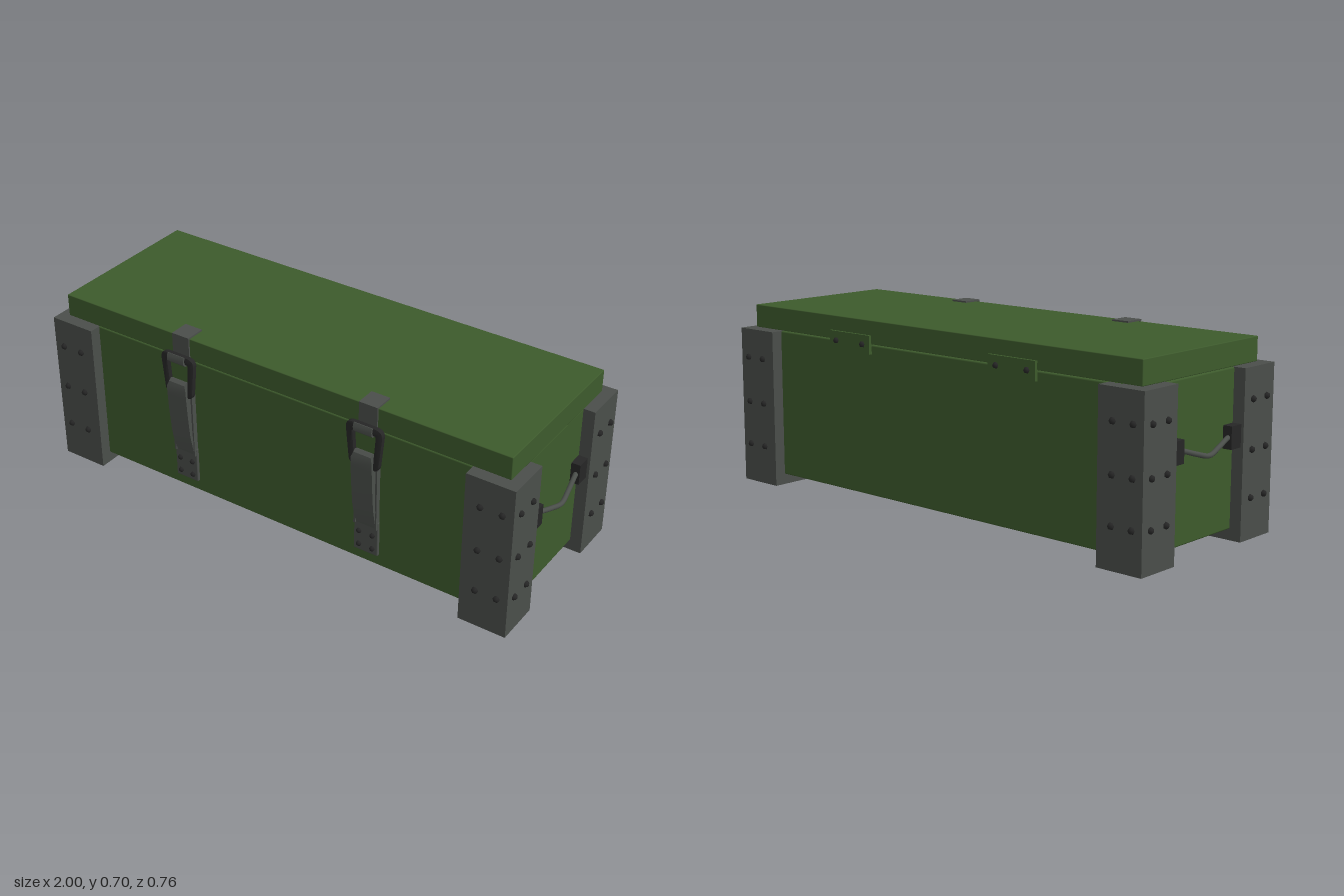
import * as THREE from 'three';
import { RoundedBoxGeometry } from 'three/addons/geometries/RoundedBoxGeometry.js';
import { toCreasedNormals } from 'three/addons/utils/BufferGeometryUtils.js';

const paint = (color) => new THREE.MeshStandardMaterial({ color });
const green = paint(0x3d5a2c);
const steel = paint(0x4a4e4a);
const dark = paint(0x262626);
const UP = new THREE.Vector3(0, 1, 0);

function add(parent, name, geometry, material, x = 0, y = 0, z = 0) {
  const mesh = new THREE.Mesh(geometry, material);
  mesh.name = name;
  mesh.position.set(x, y, z);
  parent.add(mesh);
  return mesh;
}

// Domed six-sided rivet whose dome points along dir
function rivet(parent, x, y, z, dir, r = 0.013) {
  const geometry = new THREE.SphereGeometry(r, 6, 4, 0, Math.PI * 2, 0, Math.PI / 2);
  const mesh = add(parent, 'rivet', geometry, dark, x, y, z);
  mesh.quaternion.setFromUnitVectors(UP, new THREE.Vector3(...dir));
}

// Side profile given as [z, y] points, extruded across x
function profile(points, width) {
  const shape = new THREE.Shape(points.map(([z, y]) => new THREE.Vector2(z, y)));
  const geometry = new THREE.ExtrudeGeometry(shape, { depth: width, bevelEnabled: false });
  geometry.translate(0, 0, -width / 2).rotateY(-Math.PI / 2);
  return toCreasedNormals(geometry, 0.6);
}

// Rectangle with rounded corners
function roundedRect(path, w, h, r) {
  path.moveTo(-w + r, -h);
  path.lineTo(w - r, -h).quadraticCurveTo(w, -h, w, -h + r);
  path.lineTo(w, h - r).quadraticCurveTo(w, h, w - r, h);
  path.lineTo(-w + r, h).quadraticCurveTo(-w, h, -w, h - r);
  path.lineTo(-w, -h + r).quadraticCurveTo(-w, -h, -w + r, -h);
  return path;
}

// Corner post with rivets on both outer faces
function cornerPost(sx, sz) {
  const post = new THREE.Group();
  post.name = 'cornerPost';
  add(post, 'postBlock', new THREE.BoxGeometry(0.185, 0.607, 0.176), steel, sx * 0.8925, 0.3035, sz * 0.279);
  for (const y of [0.15, 0.32, 0.496]) {
    for (const z of [0.242, 0.324]) rivet(post, sx * 0.985, y, sz * z, [sx, 0, 0]);
    for (const x of [0.86, 0.943]) rivet(post, sx * x, y, sz * 0.367, [0, 0, sz]);
  }
  return post;
}

// Sagging rope between two pads
function endHandle(sx) {
  const handle = new THREE.Group();
  handle.name = 'endHandle';
  for (const s of [-1, 1]) {
    add(handle, 'handlePad', new THREE.BoxGeometry(0.04, 0.081, 0.058), dark, sx * 0.955, 0.374, s * 0.164);
  }
  const path = new THREE.CatmullRomCurve3([
    [0.958, 0.376, -0.15], [0.962, 0.372, -0.125], [0.972, 0.352, -0.06], [0.979, 0.338, 0],
    [0.972, 0.352, 0.06], [0.962, 0.372, 0.125], [0.958, 0.376, 0.15],
  ].map(([x, y, z]) => new THREE.Vector3(sx * x, y, z)));
  add(handle, 'handleRope', new THREE.TubeGeometry(path, 36, 0.009, 10), steel);
  return handle;
}

// Draw latch: lid hook, ring, lever strap and base plate
function latch(x) {
  const group = new THREE.Group();
  group.name = 'latch';
  group.position.x = x;

  const hook = profile([
    [0.255, 0.699], [0.327, 0.699], [0.327, 0.607], [0.335, 0.6], [0.358, 0.6], [0.368, 0.61],
    [0.369, 0.625], [0.364, 0.64], [0.359, 0.638], [0.363, 0.622], [0.36, 0.611], [0.354, 0.606],
    [0.339, 0.606], [0.333, 0.612], [0.333, 0.705], [0.255, 0.705],
  ].reverse(), 0.074);
  add(group, 'lidHook', hook, steel);

  const shape = roundedRect(new THREE.Shape(), 0.07, 0.082, 0.025);
  shape.holes.push(roundedRect(new THREE.Path(), 0.05, 0.06, 0.012));
  const ring = new THREE.ExtrudeGeometry(shape, {
    depth: 0.012, bevelThickness: 0.004, bevelSize: 0.004, bevelSegments: 2, curveSegments: 6,
  });
  // Draw the ring in towards its lower end
  const p = ring.attributes.position;
  for (let i = 0; i < p.count; i++) {
    if (p.getY(i) < -0.03) p.setX(i, p.getX(i) * 0.84);
  }
  add(group, 'latchRing', toCreasedNormals(ring, 0.6), dark, 0, 0.55, 0.342);

  const lever = profile([
    [0.326, 0.2], [0.333, 0.2], [0.345, 0.235], [0.358, 0.3], [0.367, 0.4], [0.371, 0.47],
    [0.372, 0.5], [0.367, 0.522], [0.355, 0.53], [0.342, 0.524], [0.336, 0.508], [0.336, 0.47], [0.326, 0.42],
  ].reverse(), 0.086);
  // Narrow the lever where it wraps the ring
  const q = lever.attributes.position;
  for (let i = 0; i < q.count; i++) {
    if (q.getY(i) > 0.505) q.setX(i, q.getX(i) * 0.82);
  }
  add(group, 'latchLever', lever, steel);

  add(group, 'latchPlate', new RoundedBoxGeometry(0.1, 0.145, 0.014, 2, 0.004), steel, 0, 0.16, 0.328);
  for (const s of [-1, 1]) {
    add(group, 'leverCheek', new THREE.BoxGeometry(0.007, 0.3, 0.02), steel, s * 0.044, 0.355, 0.333);
    for (const y of [0.115, 0.172]) rivet(group, s * 0.028, y, 0.335, [0, 0, 1], 0.011);
  }
  return group;
}

// Hinge plate spanning the lid seam
function hinge(x) {
  const group = new THREE.Group();
  group.name = 'hinge';
  add(group, 'hingePlate', new THREE.BoxGeometry(0.213, 0.07, 0.02), green, x, 0.608, -0.325);
  for (const s of [-1, 1]) rivet(group, x + s * 0.07, 0.608, -0.335, [0, 0, -1], 0.012);
  return group;
}

export function createModel() {
  const model = new THREE.Group();
  model.name = 'storageCrate';
  add(model, 'body', new RoundedBoxGeometry(1.88, 0.567, 0.644, 2, 0.006), green, 0, 0.3235, 0);
  add(model, 'lid', new RoundedBoxGeometry(1.888, 0.088, 0.648, 2, 0.003), green, 0, 0.654, 0);
  for (const s of [-1, 1]) {
    for (const sz of [-1, 1]) model.add(cornerPost(s, sz));
    model.add(endHandle(s), latch(s * 0.4), hinge(s * 0.4));
  }
  return model;
}
